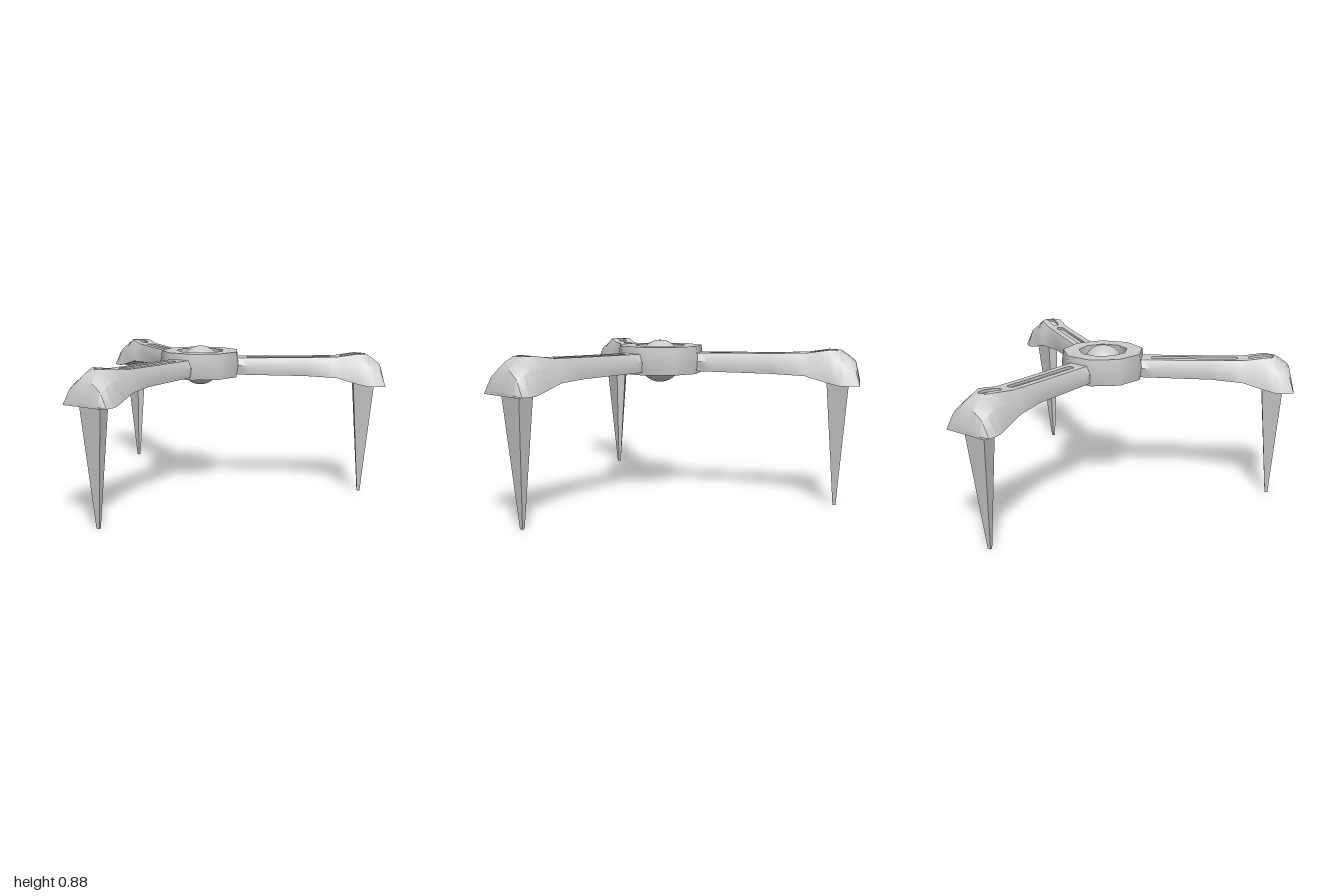
import * as THREE from 'three';
import { toCreasedNormals } from 'three/addons/utils/BufferGeometryUtils.js';

const HUB_Z = -0.22;
const material = new THREE.MeshStandardMaterial({ color: 0xcccccc });

function addMesh(parent, name, geometry) {
  const mesh = new THREE.Mesh(geometry, material);
  mesh.name = name;
  parent.add(mesh);
  return mesh;
}

// Skin a list of equal-length rings (clockwise seen from the far end), capping the last.
function loft(rings, crease) {
  const out = [];
  const tri = (...points) => points.forEach(p => out.push(...p));
  for (let i = 0; i < rings.length - 1; i++) {
    const a = rings[i], b = rings[i + 1];
    a.forEach((p, j) => {
      const k = (j + 1) % a.length;
      tri(p, b[j], a[k]);
      tri(a[k], b[j], b[k]);
    });
  }
  const end = rings[rings.length - 1];
  const centre = [0, 1, 2].map(c => end.reduce((sum, p) => sum + p[c], 0) / end.length);
  end.forEach((p, j) => tri(centre, end[(j + 1) % end.length], p));
  const geometry = new THREE.BufferGeometry();
  geometry.setAttribute('position', new THREE.Float32BufferAttribute(out, 3));
  return toCreasedNormals(geometry, crease);
}

// Arm stations: z, top half width, top y, side half width, side y, bottom half width, bottom y
const STATIONS = [
  [-0.03, 0.06, 0.813, 0.085, 0.77, 0.075, 0.72],
  [0.02, 0.06, 0.813, 0.085, 0.77, 0.075, 0.715],
  [0.40, 0.058, 0.818, 0.078, 0.77, 0.07, 0.71],
  [0.58, 0.058, 0.822, 0.09, 0.77, 0.105, 0.705],
  [0.70, 0.062, 0.84, 0.107, 0.78, 0.124, 0.672],
  [0.76, 0.03, 0.838, 0.105, 0.78, 0.138, 0.66],
  [0.80, 0.04, 0.812, 0.105, 0.76, 0.143, 0.66],
  [0.838, 0.045, 0.78, 0.10, 0.74, 0.138, 0.66],
  [0.862, 0.05, 0.68, 0.10, 0.67, 0.128, 0.66],
];

function stationAt(z) {
  const i = Math.max(1, STATIONS.findIndex(s => s[0] >= z));
  const a = STATIONS[i - 1], b = STATIONS[i];
  const t = (z - a[0]) / (b[0] - a[0]);
  return a.map((v, k) => THREE.MathUtils.lerp(v, b[k], t));
}

// Arm with a long groove and a short groove sunk in its top
function armGeometry() {
  const grooves = [[0.06, 0.55], [0.61, 0.75]];
  const cuts = STATIONS.map(([z]) => {
    const inside = grooves.some(([a, b]) => z > a && z < b);
    return { z, g: 0.021, d: inside ? 0.014 : 0 };
  });
  for (const [a, b] of grooves) {
    for (const [end, inward] of [[a, 1], [b, -1]]) {
      cuts.push({ z: end, g: 0.01, d: 0, order: -inward });
      cuts.push({ z: end, g: 0.01, d: 0.014, order: inward });
      cuts.push({ z: end + inward * 0.014, g: 0.021, d: 0.014 });
    }
  }
  cuts.sort((p, q) => p.z - q.z || (p.order || 0) - (q.order || 0));
  const rings = cuts.map(({ z, g, d }) => {
    const [, top, topY, side, sideY, bottom, bottomY] = stationAt(z);
    const half = [[g, topY - d], [g, topY], [top, topY], [side, sideY], [bottom, bottomY]];
    return [
      ...half.map(([x, y]) => [x, y, z]),
      ...half.slice().reverse().map(([x, y]) => [-x, y, z]),
    ];
  });
  return loft(rings, 0.7);
}

// Four-sided spike, wider on its outer face
function spikeGeometry() {
  const ring = (y, outer, inner, zOuter, zInner) => [
    [outer, y, zOuter], [inner, y, zInner], [-inner, y, zInner], [-outer, y, zOuter],
  ];
  return loft([
    ring(0.70, 0.073, 0.031, 0.808, 0.688),
    ring(0, 0.010, 0.006, 0.758, 0.742),
  ], 0.1);
}

export function createModel() {
  const model = new THREE.Group();
  model.name = 'tripodStand';

  // Nine-sided hub ring with a straight hole and softly rounded sides
  const profile = [
    [0.14, 0.70], [0.232, 0.70], [0.243, 0.775], [0.232, 0.85], [0.14, 0.85], [0.14, 0.70],
  ].map(([x, y]) => new THREE.Vector2(x, y));
  const ring = toCreasedNormals(new THREE.LatheGeometry(profile, 9, Math.PI), 0.8);
  addMesh(model, 'hubRing', ring).position.z = HUB_Z;

  // Ball in the middle of the ring
  addMesh(model, 'centreBall', new THREE.SphereGeometry(0.117, 32, 20)).position.set(0, 0.762, HUB_Z);

  // Three arms, each with a spike leg
  const arm = armGeometry();
  const spike = spikeGeometry();
  ['frontLeg', 'leftRearLeg', 'rightRearLeg'].forEach((name, i) => {
    const leg = new THREE.Group();
    leg.name = name;
    leg.position.z = HUB_Z;
    leg.rotation.y = i * Math.PI * 2 / 3;
    for (const [part, geometry] of [['arm', arm], ['spike', spike]]) {
      addMesh(leg, part, geometry).position.z = -HUB_Z;
    }
    model.add(leg);
  });
  return model;
}
